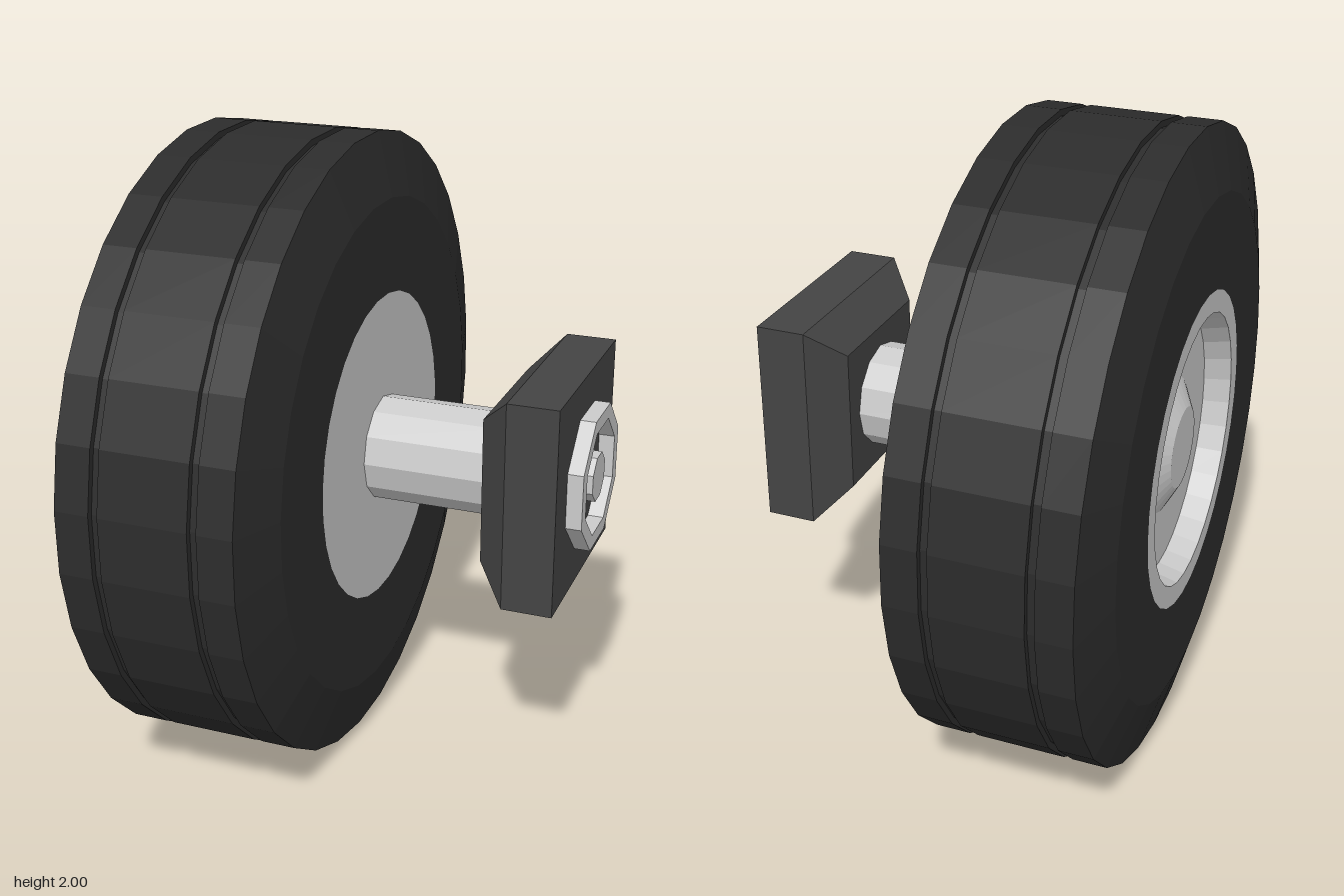
import * as THREE from 'three';

const grey = new THREE.MeshStandardMaterial({ color: 0xcccccc, flatShading: true });
const rubber = new THREE.MeshStandardMaterial({ color: 0x2c2c2c, flatShading: true });
const darkMetal = new THREE.MeshStandardMaterial({ color: 0x444444, flatShading: true });

// Faceted solid turned about the x axis; profile points are [radius, x].
// Radii are measured to the flats when the sides are turned by half a step.
function turned(name, profile, sides, material, onFlats = true) {
  const k = onFlats ? 1 / Math.cos(Math.PI / sides) : 1;
  const points = profile.map(([r, x]) => new THREE.Vector2(r * k, x));
  const geometry = new THREE.LatheGeometry(points, sides, onFlats ? Math.PI / sides : 0);
  geometry.rotateZ(-Math.PI / 2);
  const mesh = new THREE.Mesh(geometry, material);
  mesh.name = name;
  return mesh;
}

export function createModel() {
  const model = new THREE.Group();
  model.name = 'wheelAssembly';

  // Tyre with bevelled shoulders and two tread grooves
  const tread = [];
  for (const x of [-0.515, -0.207]) {
    tread.push([1, x - 0.014], [0.98, x - 0.014], [0.98, x + 0.014], [1, x + 0.014]);
  }
  model.add(turned('tyre', [
    [0.5, -0.69], [0.8, -0.69], [1, -0.638], ...tread, [1, -0.082], [0.8, -0.03], [0.5, -0.03],
  ], 32, rubber));

  // Rim: raised hub cap in a dished outer face, flat inner face
  model.add(turned('rim', [
    [0, -0.65], [0.13, -0.65], [0.215, -0.605], [0.41, -0.605],
    [0.43, -0.69], [0.5, -0.69], [0.5, -0.03], [0, -0.03],
  ], 32, grey));

  // Axle
  model.add(turned('axle', [[0.17, -0.04], [0.17, 0.39]], 12, grey, false));

  // Square mounting block, tapered towards the axle
  model.add(turned('mountingBlock', [
    [0, 0.38], [0.235, 0.38], [0.335, 0.48], [0.335, 0.64], [0, 0.64],
  ], 4, darkMetal));

  // Octagonal collar and bolt on the end of the block
  model.add(turned('collar', [
    [0.215, 0.63], [0.215, 0.69], [0.17, 0.69], [0.17, 0.63],
  ], 8, grey));
  model.add(turned('bolt', [[0.073, 0.63], [0.073, 0.685], [0, 0.685]], 8, grey));

  for (const part of model.children) part.position.y = 1;
  return model;
}
